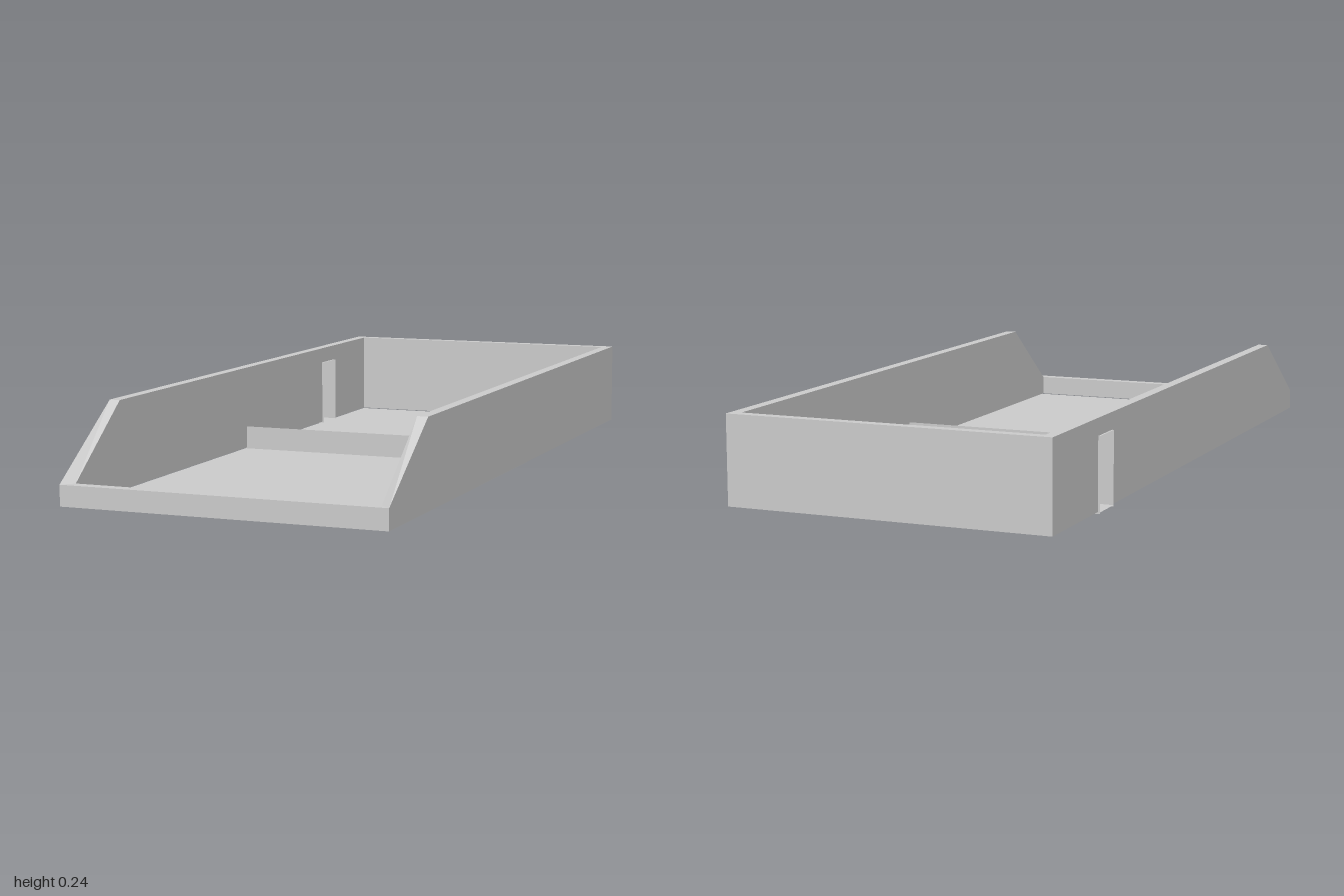
import * as THREE from 'three';

const material = new THREE.MeshStandardMaterial({ color: 0xcccccc, flatShading: true, side: THREE.DoubleSide });

// Flat panel of w by h, turned and placed
function panel(name, w, h, position, rotation = [0, 0, 0]) {
  const mesh = new THREE.Mesh(new THREE.PlaneGeometry(w, h), material);
  mesh.name = name;
  mesh.position.set(...position);
  mesh.rotation.set(...rotation);
  return mesh;
}

// Hollow wall shell following stations of [outerX, outerZ, innerX, innerZ, top, bottom of next stretch]
function wallGeometry(stations) {
  const positions = [];
  const quad = (a, b, c, d) => positions.push(...a, ...b, ...c, ...a, ...c, ...d);
  stations.forEach((s, i) => {
    const n = stations[(i + 1) % stations.length];
    const base = s[5];
    const outer = (p, y) => [p[0], y, p[1]];
    const inner = (p, y) => [p[2], y, p[3]];
    quad(outer(s, base), outer(n, base), outer(n, n[4]), outer(s, s[4]));
    quad(outer(s, s[4]), outer(n, n[4]), inner(n, n[4]), inner(s, s[4]));
    quad(inner(s, s[4]), inner(n, n[4]), inner(n, base), inner(s, base));
  });
  const geometry = new THREE.BufferGeometry();
  geometry.setAttribute('position', new THREE.Float32BufferAttribute(positions, 3));
  geometry.computeVertexNormals();
  return geometry;
}

export function createModel() {
  const group = new THREE.Group();
  group.name = 'openTray';

  const base = 0.005, high = 0.24, low = 0.06;
  const outL = 0.438, inL = 0.409, outR = -0.435, inR = -0.406;
  const doorFront = -0.612, doorBack = -0.707, doorTop = 0.195;

  // Perimeter walls: low front, sloping side ends, doorway gap on the right side
  const walls = new THREE.Mesh(wallGeometry([
    [outR, 1, inR, 0.97, low, base],
    [outL, 1, inL, 0.97, low, base],
    [outL, 0.735, inL, 0.735, high, base],
    [outL, -1, inL, -0.973, high, base],
    [outR, -1, inR, -0.973, high, base],
    [outR, doorBack, inR, doorBack, high, doorTop],
    [outR, doorFront, inR, doorFront, high, base],
    [outR, 0.735, inR, 0.735, high, base],
  ]), material);
  walls.name = 'perimeterWalls';
  group.add(walls);

  // Floor and the low sheet dividing it
  group.add(panel('floor', 0.826, 1.955, [0.003, 0.002, -0.002], [-Math.PI / 2, 0, 0]));
  group.add(panel('divider', 0.826, 0.067, [0.003, 0.0335, -0.04]));

  // Doorway lining
  const door = new THREE.Group();
  door.name = 'doorwayFrame';
  const depth = 0.04, doorX = -0.42, doorZ = (doorFront + doorBack) / 2, width = doorFront - doorBack;
  for (const z of [doorFront, doorBack]) {
    door.add(panel('jamb', depth, doorTop, [doorX, doorTop / 2, z]));
  }
  for (const [name, y] of [['lintel', doorTop], ['sill', 0.004]]) {
    door.add(panel(name, depth, width, [doorX, y, doorZ], [-Math.PI / 2, 0, 0]));
  }
  group.add(door);

  return group;
}
